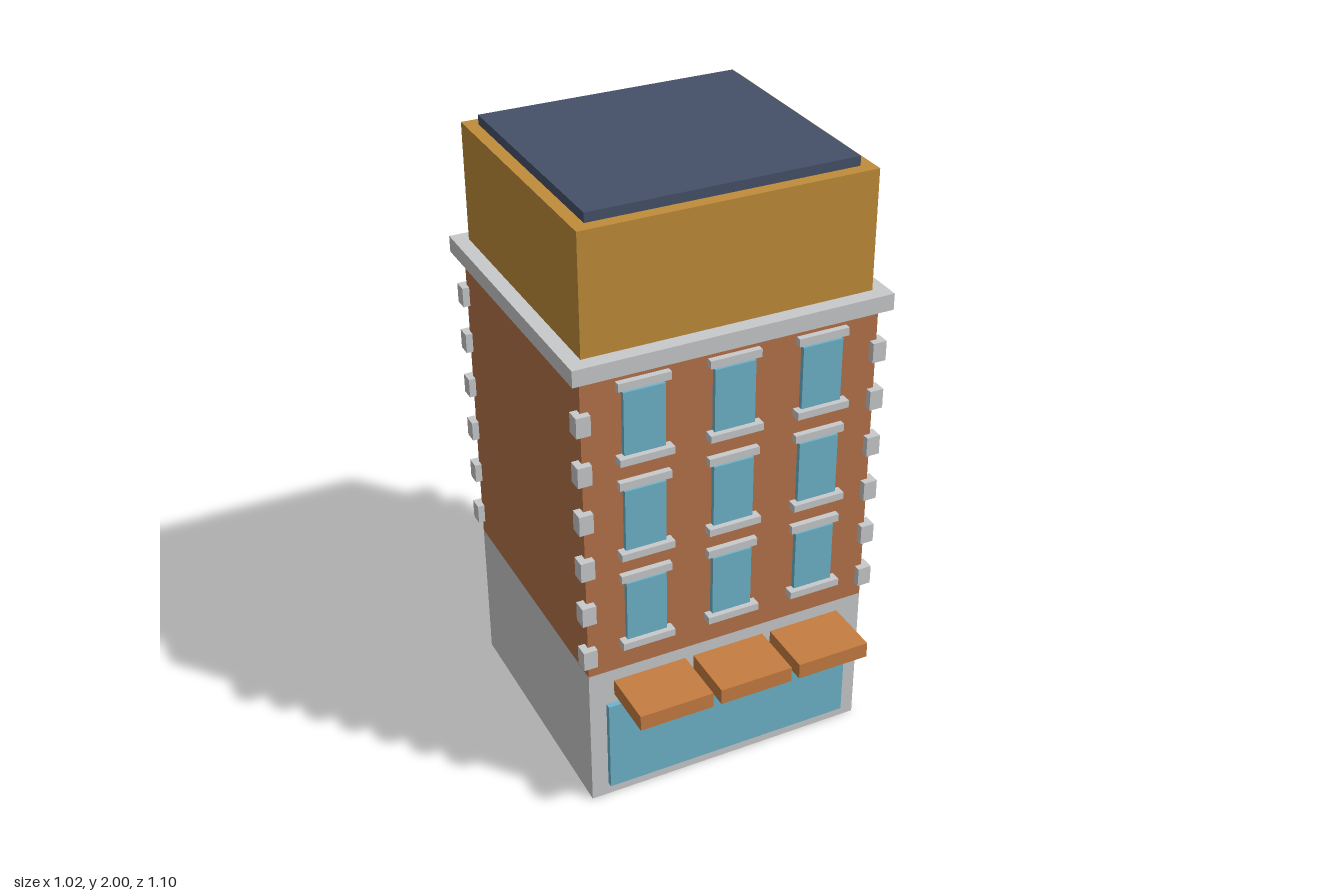
import * as THREE from 'three';

const paint = (name, color) => {
  const m = new THREE.MeshStandardMaterial({ color });
  m.name = name;
  return m;
};

export function createModel() {
  const stone = paint('paleStone', 0xc8c9cb);
  const brick = paint('brick', 0xb5734a);
  const ochre = paint('ochre', 0xc08c3a);
  const slate = paint('slateBlue', 0x455168);
  const glass = paint('glass', 0x6db4cb);
  const canvas = paint('awningOrange', 0xc67d41);

  const model = new THREE.Group();
  model.name = 'building';

  // Box given by its extents along each axis
  const box = (name, material, [x0, x1], [y0, y1], [z0, z1], parent = model) => {
    const mesh = new THREE.Mesh(new THREE.BoxGeometry(x1 - x0, y1 - y0, z1 - z0), material);
    mesh.position.set((x0 + x1) / 2, (y0 + y1) / 2, (z0 + z1) / 2);
    mesh.name = name;
    parent.add(mesh);
    return mesh;
  };
  const around = (c, size) => [c - size / 2, c + size / 2];

  const front = 0.36, back = -0.516, half = 0.479;

  // Stacked storeys
  box('groundFloor', stone, [-half, half], [0, 0.495], [back, front]);
  box('brickStoreys', brick, [-half, half], [0.495, 1.535], [back, front]);
  box('cornice', stone, [-0.512, 0.512], [1.535, 1.588], [-0.552, 0.391]);
  box('atticStorey', ochre, [-0.465, 0.465], [1.588, 1.97], [-0.505, 0.343]);
  box('roofSlab', slate, [-0.425, 0.425], [1.97, 2], [-0.464, 0.303]);

  // Shop window and awnings
  box('shopWindow', glass, [-0.423, 0.423], [0.045, 0.369], [front, 0.379]);
  for (const x of [-0.273, 0, 0.273])
    box('awning', canvas, around(x, 0.245), [0.4, 0.453], [front, 0.55]);

  // Three rows of three windows with lintel and sill
  for (let row = 0; row < 3; row++) {
    for (let col = -1; col <= 1; col++) {
      const unit = new THREE.Group();
      unit.name = 'window';
      unit.position.set(col * 0.288, 0.711 + row * 0.328, front);
      box('pane', glass, around(0, 0.132), [-0.102, 0.104], [0, 0.016], unit);
      box('lintel', stone, around(0, 0.166), [0.112, 0.138], [0, 0.02], unit);
      box('sill', stone, around(0, 0.173), [-0.126, -0.102], [0, 0.034], unit);
      model.add(unit);
    }
  }

  // Corner stones up all four edges
  for (const x of [-half, half])
    for (const z of [back, front])
      for (let i = 0; i < 6; i++)
        box('cornerStone', stone, around(x, 0.045), around(0.577 + i * 0.164, 0.065), around(z, 0.045));

  return model;
}
